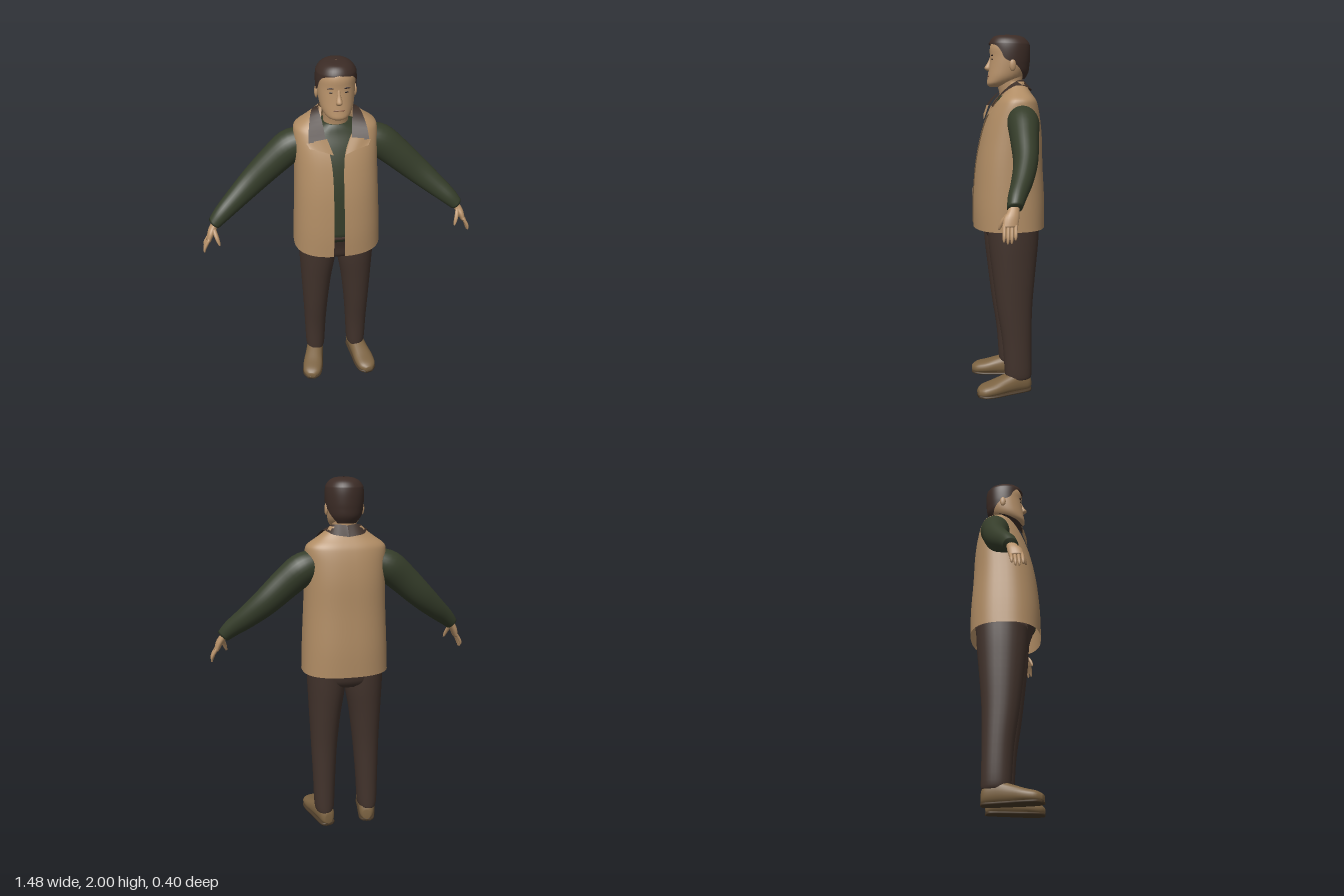
import * as THREE from 'three';
import { mergeVertices } from 'three/addons/utils/BufferGeometryUtils.js';

const mat = (name, color, open) => {
  const m = new THREE.MeshStandardMaterial({ color });
  m.name = name;
  if (open) m.side = THREE.DoubleSide;
  return m;
};

// Catmull-Rom interpolation of whole key rows
function resample(keys, sub) {
  const out = [], last = keys.length - 1;
  for (let i = 0; i < last; i++) {
    const [a, b, c, d] = [keys[Math.max(i - 1, 0)], keys[i], keys[i + 1], keys[Math.min(i + 2, last)]];
    for (let s = 0; s < sub; s++) {
      const t = s / sub;
      out.push(b.map((_, k) => {
        const cubic = 3 * (b[k] - c[k]) + d[k] - a[k];
        const square = 2 * a[k] - 5 * b[k] + 4 * c[k] - d[k];
        return b[k] + 0.5 * t * (c[k] - a[k] + t * (square + t * cubic));
      }));
    }
  }
  out.push(keys[last]);
  return out;
}

// Joins equal-length rings of points into a smooth surface
function surface(rings) {
  const n = rings[0].length, pos = rings.flat().flatMap(p => p.toArray()), idx = [];
  for (let i = 0; i < rings.length - 1; i++)
    for (let j = 0; j < n - 1; j++) {
      const a = i * n + j, b = a + n;
      idx.push(a, a + 1, b, a + 1, b + 1, b);
    }
  const g = new THREE.BufferGeometry();
  g.setAttribute('position', new THREE.Float32BufferAttribute(pos, 3));
  g.setIndex(idx);
  const merged = mergeVertices(g, 1e-5);
  merged.computeVertexNormals();
  return merged;
}

// Key row: x, y, z, radius across, radius along v, optional opening angles on each side of the front
function loft(keys, { n = 28, p = 1, sub = 4, cap = true, v = new THREE.Vector3(0, 0, 1) } = {}) {
  const rows = resample(keys, sub), last = rows.length - 1;
  const at = i => new THREE.Vector3(...rows[THREE.MathUtils.clamp(i, 0, last)].slice(0, 3));
  const pw = c => Math.sign(c) * Math.abs(c) ** p;
  const rings = rows.map((r, i) => {
    const u = v.clone().cross(at(i + 1).sub(at(i - 1))).normalize();
    const g0 = Math.max(0, r[5] ?? 0), g1 = Math.max(0, r[6] ?? g0);
    return Array.from({ length: n + 1 }, (_, j) => {
      const a = Math.PI / 2 + g0 + (2 * Math.PI - g0 - g1) * (j / n);
      return at(i).addScaledVector(u, r[3] * pw(Math.cos(a))).addScaledVector(v, r[4] * pw(Math.sin(a)));
    });
  });
  if (cap) {
    rings.unshift(rings[0].map(() => at(0)));
    rings.push(rings[0].map(() => at(last)));
  }
  return surface(rings);
}

// Ribbon of cloth between two edges
function ribbon(a, b) {
  const B = resample(b, 4);
  return surface(resample(a, 4).map((p, i) => [new THREE.Vector3(...p), new THREE.Vector3(...B[i])]));
}

export function createModel() {
  const root = new THREE.Group();
  root.name = 'standingMan';
  const M = {
    skin: mat('skin', 0xb8926a), hair: mat('dark brown hair', 0x3c2c26, true),
    vest: mat('tan vest cloth', 0xb08c64, true), collar: mat('brown collar cloth', 0x3d2f28, true),
    shirt: mat('dark green knit', 0x353d2a), trousers: mat('dark brown trousers', 0x42332c),
    shoe: mat('brown leather', 0x7c6342), sole: mat('dark sole', 0x4a3a28),
    eye: mat('dark eye', 0x2c211c), lip: mat('lip', 0x8c6148),
  };
  const add = (name, geo, m, parent = root) => {
    const mesh = new THREE.Mesh(geo, m);
    mesh.name = name;
    parent.add(mesh);
    return mesh;
  };
  const blob = (name, m, pos, size) => {
    const b = add(name, new THREE.SphereGeometry(1, 14, 10), m);
    b.position.set(...pos);
    b.scale.set(...size);
  };

  // Torso: open-fronted vest over shirt and hips
  add('vest', loft([
    [0, 0.95, 0, 0.242, 0.198, 0.045, 0.106], [0, 1.1, 0, 0.236, 0.198, 0.045, 0.1],
    [0, 1.3, -0.003, 0.226, 0.184, 0.045, 0.1], [0, 1.45, -0.015, 0.22, 0.167, 0.05, 0.11],
    [0, 1.55, -0.025, 0.219, 0.146, 0.085, 0.16], [0, 1.62, -0.035, 0.219, 0.122, 0.2, 0.28],
    [0, 1.655, -0.04, 0.208, 0.104, 0.34, 0.36], [0, 1.69, -0.042, 0.16, 0.078, 0.46, 0.46],
    [0, 1.72, -0.042, 0.118, 0.062, 0.63, 0.63], [0, 1.75, -0.04, 0.085, 0.05, 0.9, 0.9],
  ], { n: 48, p: 0.8, cap: false }), M.vest);
  add('shirt', loft([
    [0, 1.03, 0, 0.2, 0.172], [0, 1.3, -0.01, 0.195, 0.166], [0, 1.45, -0.018, 0.19, 0.148],
    [0, 1.55, -0.025, 0.185, 0.124], [0, 1.62, -0.03, 0.16, 0.098], [0, 1.655, -0.03, 0.105, 0.085],
    [0, 1.675, -0.025, 0.068, 0.07]], { p: 0.85 }), M.shirt);
  add('hips', loft([
    [0, 0.865, -0.015, 0.14, 0.1], [0, 0.9, -0.015, 0.205, 0.138],
    [0, 0.97, -0.012, 0.215, 0.155], [0, 1.06, 0, 0.208, 0.178]], { p: 0.85 }), M.trousers);

  for (const s of [1, -1]) {
    const side = s > 0 ? 'left' : 'right';
    const flip = rows => rows.map(([x, ...rest]) => [s * x, ...rest]);

    // Turned-down collar and lapel
    add(side + 'Collar', ribbon(
      flip([[0, 1.755, -0.088], [0.06, 1.76, -0.07], [0.087, 1.745, -0.02], [0.076, 1.69, 0.045], [0.066, 1.615, 0.105]]),
      flip([[0, 1.70, -0.128], [0.08, 1.712, -0.112], [0.122, 1.728, -0.03], [0.146, 1.675, 0.06], [0.155, 1.612, 0.108]]),
    ), M.collar);
    add(side + 'Lapel', ribbon(
      flip([[0.06, 1.625, 0.1], [0.11, 1.622, 0.107], [0.165, 1.607, 0.098]]),
      flip([[0.03, 1.545, 0.131], [0.085, 1.568, 0.128], [0.15, 1.583, 0.115]])), M.vest);

    // Sleeve
    add(side + 'Sleeve', loft(flip([
      [0.17, 1.555, -0.045, 0.075, 0.075], [0.24, 1.525, -0.047, 0.088, 0.083], [0.33, 1.45, -0.038, 0.083, 0.073],
      [0.44, 1.35, -0.025, 0.073, 0.063], [0.54, 1.265, 0.008, 0.06, 0.056], [0.62, 1.2, 0.045, 0.048, 0.047],
      [0.668, 1.153, 0.065, 0.036, 0.037]])), M.shirt);

    // Hand with four fingers and a thumb
    const hand = new THREE.Group();
    hand.name = side + 'Hand';
    root.add(hand);
    add('palm', loft(flip([
      [0.645, 1.175, 0.062, 0.02, 0.027], [0.672, 1.14, 0.073, 0.02, 0.029],
      [0.69, 1.11, 0.085, 0.019, 0.037], [0.706, 1.07, 0.093, 0.013, 0.036]]), { n: 16 }), M.skin, hand);
    [0.8, 0.98, 1, 0.9].forEach((len, f) => {
      const z = 0.065 + f * 0.018;
      add('finger', loft(flip([
        [0.7, 1.085, z, 0.009, 0.009], [0.72, 1.085 - 0.035 * len, z + 0.004, 0.009, 0.009],
        [0.733, 1.085 - 0.065 * len, z + 0.006, 0.008, 0.008], [0.735, 1.085 - 0.085 * len, z + 0.007, 0.004, 0.004],
      ]), { n: 8, sub: 2 }), M.skin, hand);
    });
    add('thumb', loft(flip([
      [0.675, 1.135, 0.09, 0.012, 0.013], [0.665, 1.105, 0.115, 0.012, 0.013],
      [0.656, 1.075, 0.13, 0.01, 0.01], [0.65, 1.052, 0.137, 0.005, 0.005]]), { n: 8, sub: 2 }), M.skin, hand);

    // Trouser leg
    add(side + 'TrouserLeg', loft(flip([
      [0.129, 0.085, -0.042, 0.05, 0.073], [0.13, 0.12, -0.04, 0.058, 0.077], [0.128, 0.3, -0.033, 0.065, 0.083],
      [0.124, 0.5, -0.02, 0.075, 0.1], [0.117, 0.7, -0.016, 0.09, 0.121], [0.108, 0.85, -0.015, 0.105, 0.137],
      [0.106, 0.98, -0.015, 0.11, 0.144]]), { p: 0.93 }), M.trousers);

    // Shoe and sole, toes turned outward
    const foot = new THREE.Group();
    foot.name = side + 'Shoe';
    foot.position.x = s * 0.14;
    foot.rotation.y = s * 0.22;
    root.add(foot);
    const shoe = [
      [0, 0.042, -0.115, 0.022, 0.03], [0, 0.058, -0.095, 0.042, 0.053], [0, 0.064, -0.03, 0.049, 0.06],
      [0, 0.054, 0.04, 0.054, 0.05], [0, 0.042, 0.11, 0.06, 0.038], [0, 0.034, 0.17, 0.052, 0.03],
      [0, 0.028, 0.2, 0.022, 0.018]];
    const v = new THREE.Vector3(0, 1, 0);
    add('upper', loft(shoe, { v, p: 0.85, n: 24 }), M.shoe, foot);
    add('sole', loft(shoe.map(([x, , z, r]) => [x, 0.009, z, r + 0.002, 0.009]), { v, p: 0.6, n: 24 }), M.sole, foot);

    // Ear, eye and brow
    blob(side + 'Ear', M.skin, [s * 0.098, 1.835, -0.012], [0.01, 0.032, 0.018]);
    blob(side + 'Eye', M.eye, [s * 0.035, 1.867, 0.0915], [0.014, 0.004, 0.004]);
    blob(side + 'Brow', M.hair, [s * 0.037, 1.888, 0.0915], [0.02, 0.004, 0.0045]);
  }

  // Neck and face
  add('neck', loft([[0, 1.6, -0.03, 0.07, 0.07], [0, 1.68, -0.02, 0.064, 0.066],
    [0, 1.75, -0.008, 0.066, 0.072], [0, 1.8, -0.005, 0.07, 0.08]]), M.skin);
  add('head', loft([
    [0, 1.722, 0.07, 0.025, 0.03], [0, 1.737, 0.055, 0.058, 0.061], [0, 1.77, 0.022, 0.081, 0.091],
    [0, 1.82, 0.002, 0.091, 0.104], [0, 1.88, -0.004, 0.095, 0.103], [0, 1.93, -0.005, 0.094, 0.104],
    [0, 1.965, -0.006, 0.078, 0.086], [0, 1.985, -0.006, 0.03, 0.03]], { p: 0.95 }), M.skin);
  add('nose', loft([[0, 1.88, 0.092, 0.008, 0.008], [0, 1.85, 0.1, 0.01, 0.013],
    [0, 1.822, 0.109, 0.017, 0.021], [0, 1.808, 0.104, 0.013, 0.012]], { n: 12 }), M.skin);
  blob('mouth', M.lip, [0, 1.778, 0.108], [0.03, 0.005, 0.0045]);

  // Short hair with a hairline around the face
  add('hair', loft([
    [0, 1.765, -0.018, 0.068, 0.074, 2.35], [0, 1.8, -0.012, 0.09, 0.1, 2.1], [0, 1.84, -0.008, 0.099, 0.11, 1.75],
    [0, 1.87, -0.008, 0.102, 0.113, 1.25], [0, 1.91, -0.008, 0.103, 0.114, 1.05], [0, 1.94, -0.007, 0.101, 0.113, 0.75],
    [0, 1.955, -0.006, 0.097, 0.11, 0], [0, 1.978, -0.004, 0.08, 0.094, 0], [0, 1.994, 0, 0.05, 0.065, 0],
    [0, 2, 0, 0.004, 0.004, 0]], { n: 40, cap: false, p: 0.95 }), M.hair);
  return root;
}
